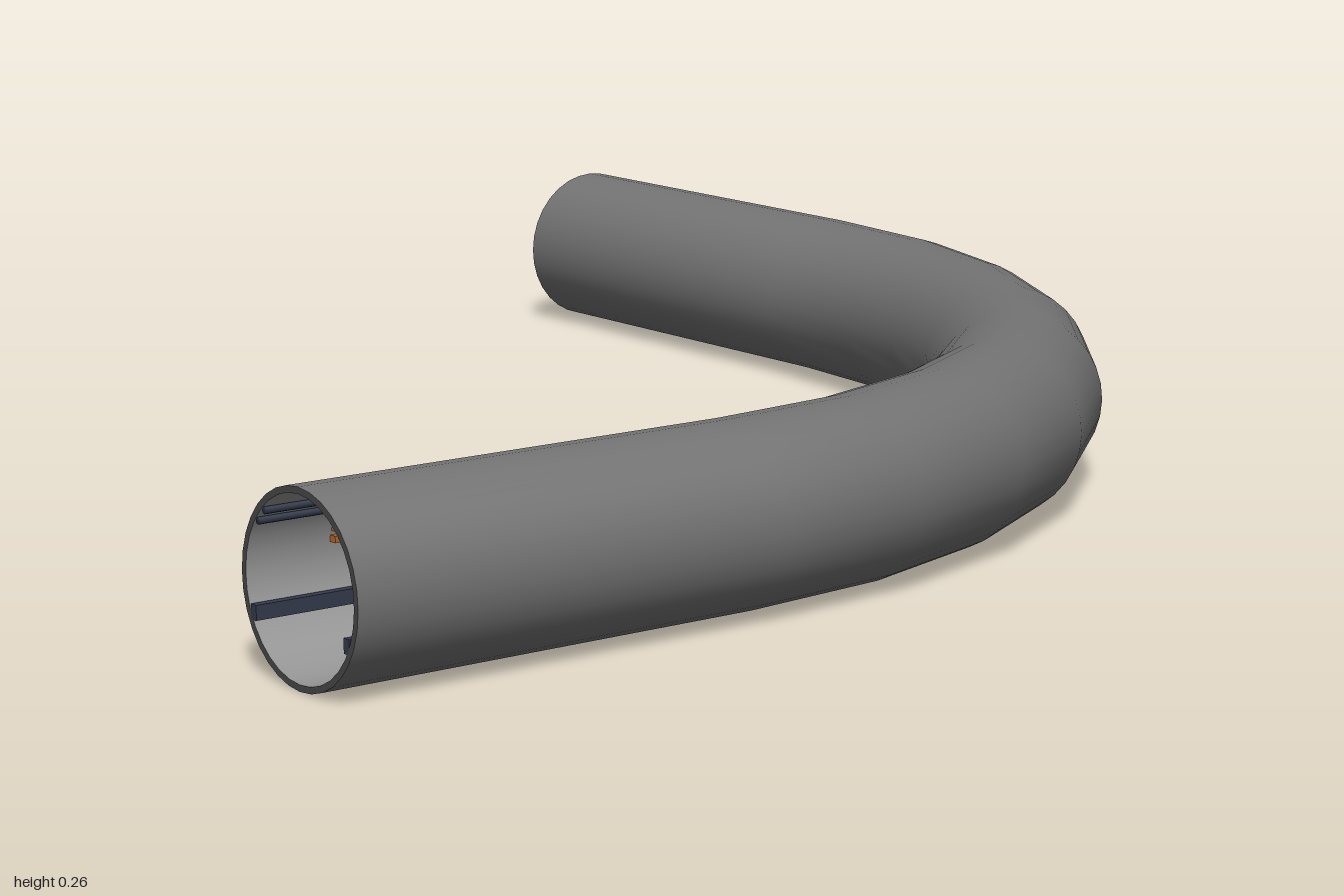
import * as THREE from 'three';
import { toCreasedNormals } from 'three/addons/utils/BufferGeometryUtils.js';

const OUTER = 0.13, INNER = 0.121, SIDES = 32;
const BEND = 1.19, CENTRE = 0.32, STRAIGHT = 0.68, STEPS = 8;

// Stations along the path: straight, quarter bend, straight
const stations = [{ a: 0, dx: -STRAIGHT, dz: 0 }];
for (let i = 0; i <= STEPS; i++) stations.push({ a: (i / STEPS) * Math.PI / 2, dx: 0, dz: 0 });
stations.push({ a: Math.PI / 2, dx: 0, dz: STRAIGHT });

// Sweeps a closed profile [outward from bend, up] along the path
function sweep(profile, capped) {
  const pos = [], index = [], n = profile.length, last = (stations.length - 1) * n;
  for (const { a, dx, dz } of stations) {
    for (const [u, v] of profile) {
      pos.push(
        -CENTRE + dx + Math.sin(a) * (BEND + u),
        OUTER + v,
        CENTRE + dz - Math.cos(a) * (BEND + u)
      );
    }
  }
  for (let s = 0; s < stations.length - 1; s++) {
    for (let i = 0; i < n; i++) {
      const j = (i + 1) % n;
      const a = s * n + i, b = s * n + j, c = b + n, d = a + n;
      index.push(a, b, c, a, c, d);
    }
  }
  if (capped) {
    for (let i = 1; i < n - 1; i++) {
      index.push(0, i + 1, i, last, last + i, last + i + 1);
    }
  }
  const geometry = new THREE.BufferGeometry();
  geometry.setAttribute('position', new THREE.Float32BufferAttribute(pos, 3));
  geometry.setIndex(index);
  geometry.computeVertexNormals();
  return geometry;
}

function circle(radius, sides, u = 0, v = 0) {
  return Array.from({ length: sides }, (_, i) => {
    const t = (i / sides) * Math.PI * 2;
    return [u + Math.cos(t) * radius, v + Math.sin(t) * radius];
  });
}

export function createModel() {
  const model = new THREE.Group();
  model.name = 'bentPipe';
  const paint = (color) => new THREE.MeshStandardMaterial({ color });
  const shell = paint(0x747474);
  const lining = paint(0x969696);
  const edge = paint(0x484848);
  const dark = paint(0x343a4c);
  const orange = paint(0xb4662a);

  function add(name, geometry, material) {
    const mesh = new THREE.Mesh(geometry, material);
    mesh.name = name;
    model.add(mesh);
    return mesh;
  }

  // Pipe wall, outside and inside
  add('outerWall', sweep(circle(OUTER, SIDES), false), shell);
  add('innerWall', sweep(circle(INNER, SIDES).reverse(), false), lining);

  // Rims closing the wall at both open ends
  const rim = new THREE.RingGeometry(INNER, OUTER, SIDES);
  const along = BEND - CENTRE;
  add('frontRim', rim, edge).position.set(along, OUTER, 1);
  const sideRim = add('sideRim', rim, edge);
  sideRim.position.set(-1, OUTER, -along);
  sideRim.rotation.y = -Math.PI / 2;

  // Dark rails low on both inner walls
  for (const side of [-1, 1]) {
    const u = side * 0.104;
    const profile = [[u - 0.006, -0.06], [u + 0.006, -0.06], [u + 0.006, -0.04], [u - 0.006, -0.04]];
    add('lowerRail', toCreasedNormals(sweep(profile, true), 0.7), dark);
  }

  // Paired cables high on the inside of the bend
  for (const v of [0.07, 0.086]) {
    const u = -Math.sqrt(0.115 ** 2 - v ** 2);
    add('upperCable', sweep(circle(0.005, 8, u, v), true), dark);
  }

  // Small orange markers on the wall near the front opening
  const markerGeometry = new THREE.BoxGeometry(0.012, 0.009, 0.03);
  for (let row = 0; row < 3; row++) {
    for (const z of [0.8, 0.86]) {
      add('marker', markerGeometry, orange).position.set(0.758 + row * 0.004, 0.155 + row * 0.015, z);
    }
  }

  return model;
}
